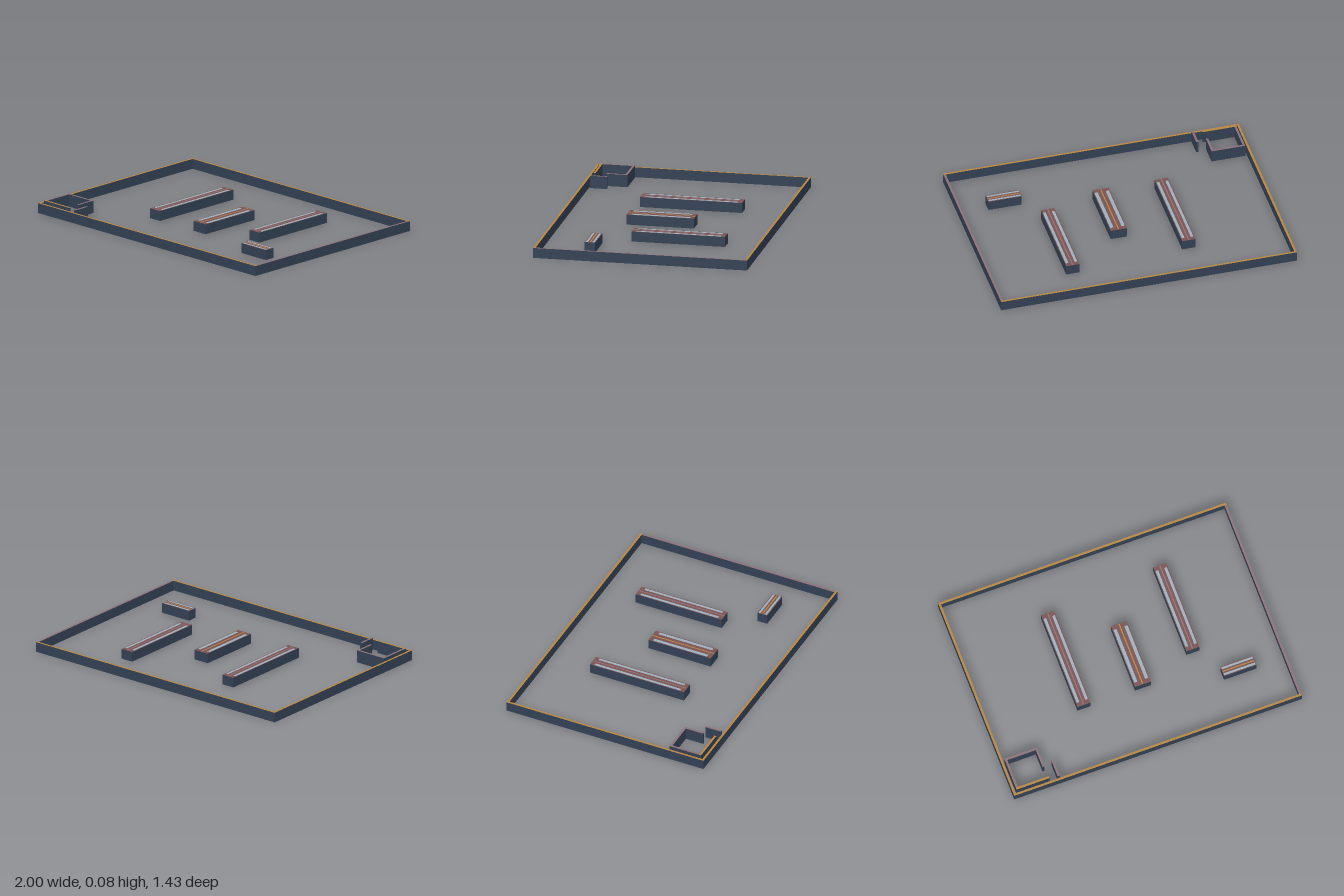
import * as THREE from 'three';

const mat = (color) => new THREE.MeshStandardMaterial({ color });

export function createModel() {
  const model = new THREE.Group();
  const dark = mat(0x334155);
  const brown = mat(0x7a5352);
  const amber = mat(0xb8863f);
  const mauve = mat(0x8d7078);
  const glass = mat(0x9db0be);

  // Box given by its plan rectangle, dark on the sides with a coloured top face
  function block(name, x0, x1, z0, z1, h, top, parent = model, y0 = 0) {
    const geo = new THREE.BoxGeometry(x1 - x0, h, z1 - z0);
    const mesh = new THREE.Mesh(geo, [dark, dark, top, dark, dark, dark]);
    mesh.name = name;
    mesh.position.set((x0 + x1) / 2, y0 + h / 2, (z0 + z1) / 2);
    parent.add(mesh);
    return mesh;
  }

  // Flat inlay lying just above a top face
  function inlay(name, x0, x1, z0, z1, y, material, parent) {
    const geo = new THREE.PlaneGeometry(x1 - x0, z1 - z0).rotateX(-Math.PI / 2);
    const mesh = new THREE.Mesh(geo, material);
    mesh.name = name;
    mesh.position.set((x0 + x1) / 2, y, (z0 + z1) / 2);
    parent.add(mesh);
  }

  const H = 0.067, T = 0.015, Z = 0.713;

  // Perimeter walls
  const perimeter = new THREE.Group();
  perimeter.name = 'perimeterWalls';
  model.add(perimeter);
  block('backWall', -1, 1, -Z, -Z + T, H, amber, perimeter);
  block('frontWall', -1, 1, Z - T, Z, H, amber, perimeter);
  block('rightWall', -1, -1 + T, -Z + T, Z - T, H, amber, perimeter);
  block('leftWall', 1 - T, 1, -Z + T, Z - T, H, mauve, perimeter);

  // Corner room with a doorway, and the short screen beside it
  const room = new THREE.Group();
  room.name = 'cornerRoom';
  model.add(room);
  const RH = 0.083;
  block('roomBackWall', -0.973, -0.745, 0.455, 0.47, RH, mauve, room);
  block('roomRightWall', -0.973, -0.958, 0.47, 0.668, RH, mauve, room);
  block('roomFrontWall', -0.973, -0.745, 0.668, 0.683, RH, amber, room);
  block('roomDoorWall', -0.76, -0.745, 0.47, 0.595, RH, mauve, room);
  block('screenWall', -0.69, -0.675, 0.577, 0.69, RH, mauve, room);

  // Free-standing islands: [x0, x1, z0, z1, centre line colour]
  const islands = [
    [-0.40, -0.31, -0.40, 0.28, mauve],
    [0.0, 0.11, -0.17, 0.28, amber],
    [0.40, 0.49, -0.457, 0.165, mauve],
    [0.57, 0.795, 0.342, 0.412, amber],
  ];
  islands.forEach(([x0, x1, z0, z1, line], i) => {
    const island = new THREE.Group();
    island.name = `island${i + 1}`;
    model.add(island);
    block('islandBody', x0, x1, z0, z1, H, brown, island);
    const y = H + 0.0006;
    const alongX = x1 - x0 > z1 - z0;
    const [a0, a1, b0, b1] = alongX ? [z0, z1, x0, x1] : [x0, x1, z0, z1];
    const end = alongX ? 0.004 : 0.03;
    const w = (a1 - a0) * 0.2, mid = (a0 + a1) / 2;
    // strips along both long edges and a fine centre line
    const strips = [
      ['edgeStrip', a0 + 0.006, a0 + 0.006 + w, end, glass],
      ['edgeStrip', a1 - 0.006 - w, a1 - 0.006, end, glass],
      ['centreLine', mid - 0.004, mid + 0.004, 0.004, line],
    ];
    for (const [name, s0, s1, inset, m] of strips) {
      const e0 = b0 + inset, e1 = b1 - inset;
      if (alongX) inlay(name, e0, e1, s0, s1, y, m, island);
      else inlay(name, s0, s1, e0, e1, y, m, island);
    }
  });

  return model;
}
